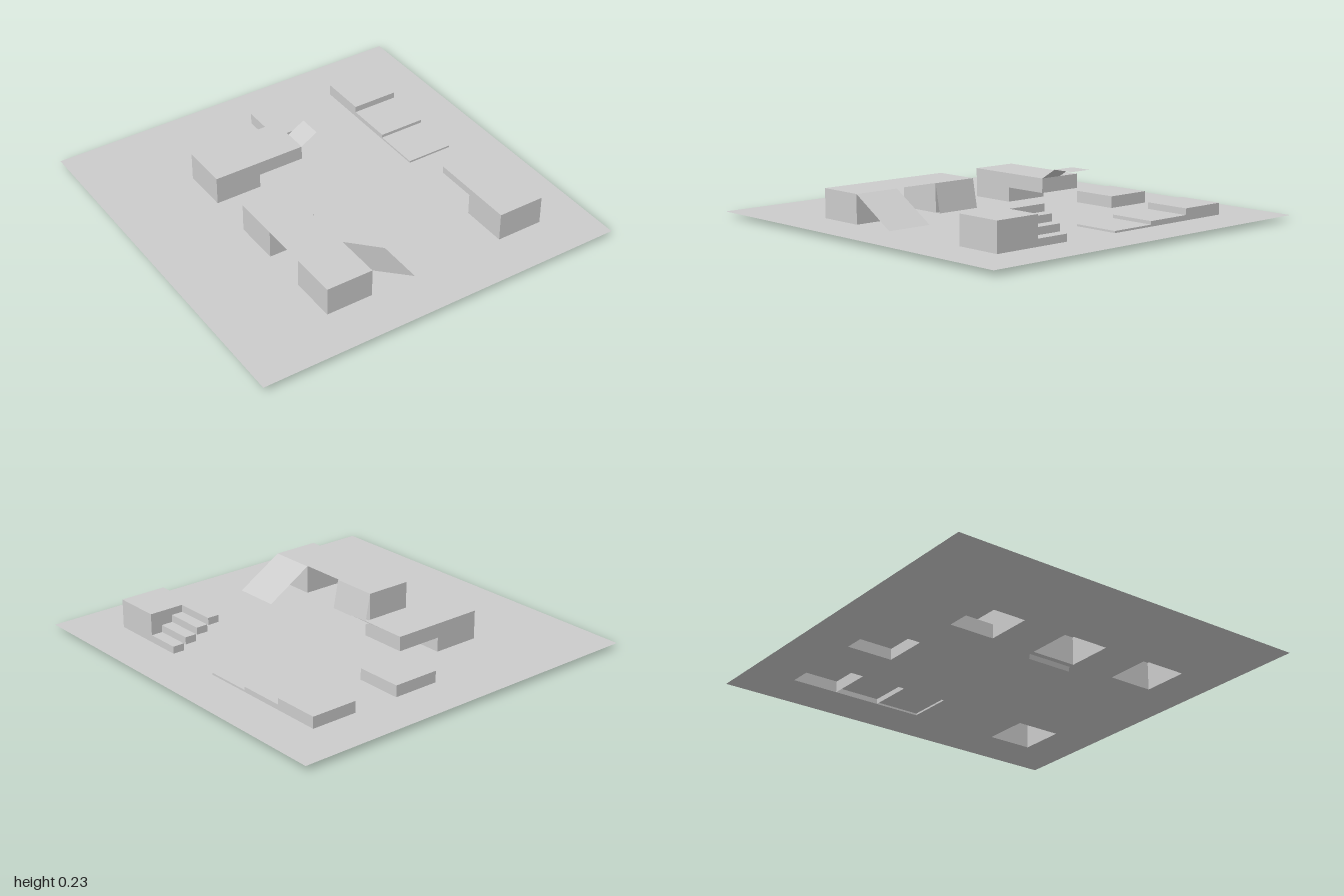
import * as THREE from 'three';

const FLOOR = 0.025, TOP = 0.175, BEAM = 0.1;
const SIDES = ['right', 'left', 'top', 'bottom', 'front', 'back']; // +x -x +y -y +z -z

export function createModel() {
  const model = new THREE.Group();
  const material = new THREE.MeshStandardMaterial({
    color: 0xcccccc, flatShading: true, side: THREE.DoubleSide,
  });

  function add(name, geometry) {
    const mesh = new THREE.Mesh(geometry, material);
    mesh.name = name;
    model.add(mesh);
    return mesh;
  }

  // Hollow box between two corners, with the named sides left open
  function shell(name, [x0, x1], [y0, y1], [z0, z1], open = ['bottom']) {
    const geo = new THREE.BoxGeometry(x1 - x0, y1 - y0, z1 - z0);
    const all = Array.from(geo.index.array);
    geo.setIndex(all.filter((_, i) => !open.includes(SIDES[Math.floor(i / 6)])));
    geo.clearGroups();
    geo.translate((x0 + x1) / 2, (y0 + y1) / 2, (z0 + z1) / 2);
    return add(name, geo);
  }

  // Thin sheet following an [x, y] profile between two z values
  function sheet(name, profile, z0, z1) {
    const pos = [], index = [];
    profile.forEach(([x, y], i) => {
      pos.push(x, y, z0, x, y, z1);
      if (i) {
        const a = 2 * i - 2;
        index.push(a, a + 1, a + 2, a + 1, a + 3, a + 2);
      }
    });
    let geo = new THREE.BufferGeometry();
    geo.setAttribute('position', new THREE.Float32BufferAttribute(pos, 3));
    geo.setIndex(index);
    geo = geo.toNonIndexed();
    geo.computeVertexNormals();
    return add(name, geo);
  }

  // Floor plate, open beneath each raised block (shape y becomes -z)
  const rect = (path, x0, x1, z0, z1) =>
    path.moveTo(x0, -z0).lineTo(x0, -z1).lineTo(x1, -z1).lineTo(x1, -z0).closePath();
  const plate = rect(new THREE.Shape(), -1, 1, -1, 1);
  const openings = [
    [-0.5, -0.25, -0.5, -0.25], [0, 0.25, -0.75, -0.5], [0.5, 0.75, -0.75, 0],
    [-0.5, -0.25, 0, 0.25], [-0.5, -0.25, 0.5, 0.75], [0.5, 0.75, 0.5, 0.75],
  ];
  for (const o of openings) plate.holes.push(rect(new THREE.Path(), ...o));
  add('floor', new THREE.ShapeGeometry(plate).rotateX(-Math.PI / 2).translate(0, FLOOR, 0));

  // Block with a cantilevered beam and a bent flap at its end
  const backZ = [-0.5, -0.25];
  shell('beamLeg', [-0.5, -0.25], [FLOOR, BEAM], backZ, ['top', 'bottom']);
  shell('beamHead', [-0.5, -0.25], [BEAM, TOP], backZ, ['right', 'bottom']);
  shell('beam', [-0.25, 0], [BEAM, TOP], backZ, ['left']);
  sheet('beamFlap', [[0, TOP], [0.09, 0.23], [0.21, 0.23]], -0.375, -0.25);

  // Low block and row of descending platforms
  shell('lowBlock', [0, 0.25], [FLOOR, 0.085], [-0.75, -0.5]);
  shell('highPlatform', [0.5, 0.75], [FLOOR, 0.085], [-0.75, -0.5]);
  shell('middlePlatform', [0.5, 0.75], [FLOOR, 0.052], [-0.5, -0.25], ['bottom', 'back']);
  shell('lowPlatform', [0.5, 0.75], [FLOOR, 0.035], [-0.25, 0], ['bottom', 'back']);

  // Two tall blocks joined by a thin deck
  shell('rearTower', [-0.5, -0.25], [FLOOR, TOP], [0, 0.25]);
  shell('frontTower', [-0.5, -0.25], [FLOOR, TOP], [0.5, 0.75]);
  sheet('deck', [[-0.5, TOP], [-0.255, TOP]], 0.25, 0.5);

  // Ramp down to the floor and a steep leaning panel
  sheet('ramp', [[-0.25, TOP], [-0.003, FLOOR + 0.001]], 0.5, 0.75);
  sheet('leaningPanel', [[-0.25, TOP], [-0.215, 0]], 0, 0.25);

  // Tall block with four floating steps projecting from its back
  shell('stepBlock', [0.5, 0.75], [FLOOR, TOP], [0.5, 0.75]);
  const w = 0.0625, h = 0.0375;
  [0.28, 0.29, 0.3, 0.317].forEach((end, i) => {
    const x = 0.5 + i * w, y = TOP - i * h;
    shell('step' + (i + 1), [x, x + w], [y - h, y], [end, 0.5], ['front']);
  });

  return model;
}
